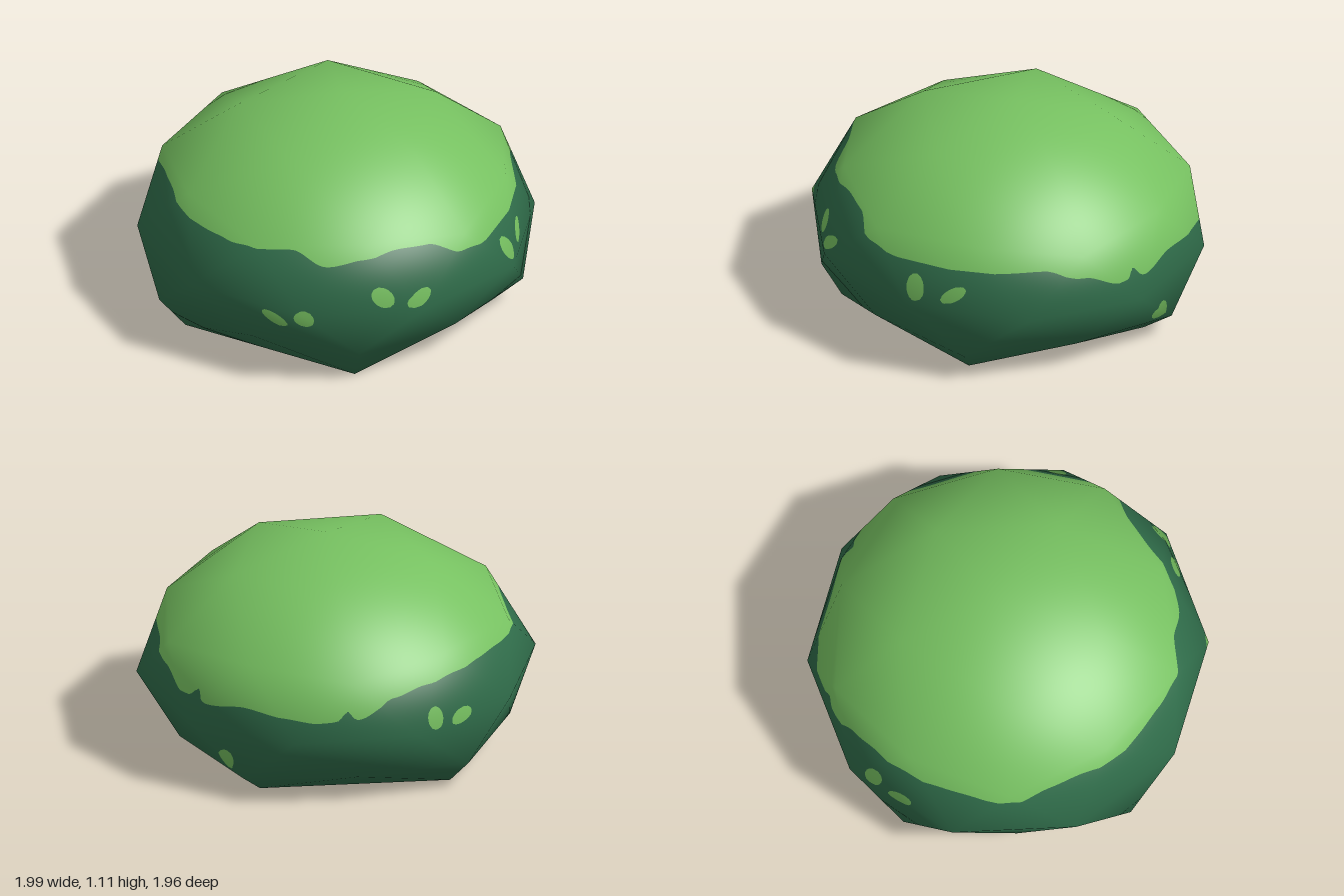
import * as THREE from 'three';

const RAD = Math.PI / 180;
const SPIN = -11.7; // turn of the whole shape about y, degrees
const STEPS = 20; // subdivisions of each facet, for clean colour borders

// A point on a ring, with the slight lean of the whole bush
function ringPoint(radius, height, degrees) {
  const a = (degrees + SPIN) * RAD;
  const x = radius * Math.cos(a) + 0.07 * (height - 0.41);
  const z = radius * Math.sin(a) - 0.04 * (height - 0.41);
  const y = height > 0 && radius > 0 ? height - 0.03 * (x - z) : height;
  return [x, y, z];
}

// Squashed, open-bottomed sphere with 41 corners: a once-divided icosahedron
function bushShell() {
  const points = [], index = [];
  const add = (r, y, deg) => points.push(...ringPoint(r, y, deg)) / 3 - 1;
  const ring = (r, y, start, count = 5) => Array.from({ length: count },
    (_, k) => add(Array.isArray(r) ? r[k] : r, y, start + k * 72));
  const top = add(0, 1.11, 0);
  const A = ring(0.52, 0.985, 0);
  const U = ring(0.895, 0.695, 0);
  const UM = ring(0.84, 0.735, 36);
  const E0 = ring(1, 0.41, 18);
  const E1 = ring(1, 0.41, 54);
  const L = ring([0.96, 0.92, 0.965, 0.96, 0.96], 0.155, 36);
  const LM = ring(0.87, 0.165, 0);
  const B = ring(0.81, 0, 36);
  const face = (a, b, c) => index.push(c, b, a);
  for (let k = 0; k < 5; k++) {
    const n = (k + 1) % 5;
    // crown
    face(top, A[k], A[n]);
    face(A[k], U[k], UM[k]);
    face(A[k], UM[k], A[n]);
    face(A[n], UM[k], U[n]);
    // sides
    face(U[k], E0[k], UM[k]);
    face(UM[k], E0[k], E1[k]);
    face(UM[k], E1[k], U[n]);
    face(E0[k], L[k], E1[k]);
    face(U[n], E1[k], E0[n]);
    face(E1[k], L[k], LM[n]);
    face(E1[k], LM[n], E0[n]);
    face(E0[n], LM[n], L[n]);
    // lower edge
    face(L[k], B[k], LM[n]);
    face(LM[n], B[k], B[n]);
    face(LM[n], B[n], L[n]);
  }
  const geo = new THREE.BufferGeometry();
  geo.setAttribute('position', new THREE.Float32BufferAttribute(points, 3));
  geo.setIndex(index);
  geo.computeVertexNormals();
  return geo;
}

// Height of the light canopy's wavy edge, every 12 degrees around y
const EDGE = [0.605, 0.60, 0.60, 0.60, 0.60, 0.625, 0.70, 0.71, 0.69, 0.66,
  0.725, 0.72, 0.69, 0.68, 0.68, 0.69, 0.68, 0.66, 0.64, 0.63,
  0.62, 0.60, 0.57, 0.48, 0.47, 0.48, 0.49, 0.465, 0.48, 0.55];
// Narrow dark notches in that edge: angle, height, width
const NOTCHES = [[330, 0.05, 1.6], [279, 0.05, 1.6]];

// Leaf spots: angle, height, half width, half height, tilt
const LEAVES = [
  [123.5, 0.38, 0.075, 0.036, -25], [114, 0.415, 0.05, 0.057, 0],
  [90, 0.505, 0.062, 0.046, -30], [79, 0.485, 0.072, 0.031, 24],
  [41, 0.49, 0.045, 0.064, 25], [29, 0.475, 0.072, 0.033, 30],
  [251, 0.44, 0.048, 0.056, 0], [241, 0.41, 0.07, 0.035, 15],
  [318, 0.195, 0.047, 0.057, 0],
];

const angleOf = (v) => (Math.atan2(v.p.z, v.p.x) / RAD + 360) % 360;

// Positive inside the canopy
function canopyField(v) {
  const deg = angleOf(v), t = deg / 12, i = Math.floor(t);
  const f = t - i, s = f * f * (3 - 2 * f);
  let edge = EDGE[i % 30] * (1 - s) + EDGE[(i + 1) % 30] * s;
  for (const [a, h, w] of NOTCHES) edge += h * Math.exp(-(((deg - a) / w) ** 2));
  return v.p.y - edge;
}

// Positive inside any leaf spot
function leafField(v) {
  const deg = angleOf(v);
  let best = -1;
  for (const [a, y, w, h, tilt] of LEAVES) {
    const du = -(deg - a) * RAD * 0.95, dv = v.p.y - y;
    const c = Math.cos(tilt * RAD), s = Math.sin(tilt * RAD);
    best = Math.max(best, 1 - Math.hypot((du * c + dv * s) / w, (dv * c - du * s) / h));
  }
  return best;
}

const mix = (a, b, t) => ({ p: a.p.clone().lerp(b.p, t), n: a.n.clone().lerp(b.n, t) });

// Cuts a convex polygon along field = 0
function split(poly, field) {
  const inside = [], outside = [];
  const values = poly.map(field);
  poly.forEach((v, i) => {
    const j = (i + 1) % poly.length;
    (values[i] > 0 ? inside : outside).push(v);
    if ((values[i] > 0) !== (values[j] > 0)) {
      const cut = mix(v, poly[j], values[i] / (values[i] - values[j]));
      inside.push(cut);
      outside.push(cut);
    }
  });
  return [inside, outside];
}

function partMesh(name, polys, material) {
  const pos = [], nor = [];
  for (const poly of polys) {
    for (let i = 1; i + 1 < poly.length; i++) {
      for (const v of [poly[0], poly[i], poly[i + 1]]) {
        pos.push(v.p.x, v.p.y, v.p.z);
        const n = v.n.clone().normalize();
        nor.push(n.x, n.y, n.z);
      }
    }
  }
  const geo = new THREE.BufferGeometry();
  geo.setAttribute('position', new THREE.Float32BufferAttribute(pos, 3));
  geo.setAttribute('normal', new THREE.Float32BufferAttribute(nor, 3));
  const mesh = new THREE.Mesh(geo, material);
  mesh.name = name;
  return mesh;
}

export function createModel() {
  const light = new THREE.MeshStandardMaterial({ color: 0x76c060, side: THREE.DoubleSide });
  light.name = 'light leaf green';
  const dark = new THREE.MeshStandardMaterial({ color: 0x2f6b49, side: THREE.DoubleSide });
  dark.name = 'dark leaf green';

  const shell = bushShell();
  const { position, normal } = shell.attributes;
  const corner = (i) => ({
    p: new THREE.Vector3().fromBufferAttribute(position, i),
    n: new THREE.Vector3().fromBufferAttribute(normal, i),
  });

  // Divide every facet finely and sort the pieces by colour
  const canopy = [], leaves = [], body = [];
  const sort = (tri) => {
    const [up, rest] = split(tri, canopyField);
    if (up.length > 2) canopy.push(up);
    if (rest.length < 3) return;
    const [leaf, plain] = split(rest, leafField);
    if (leaf.length > 2) leaves.push(leaf);
    if (plain.length > 2) body.push(plain);
  };
  for (let f = 0; f < shell.index.count; f += 3) {
    const [a, b, c] = [0, 1, 2].map((k) => corner(shell.index.getX(f + k)));
    const at = (i, j) => (i === 0 ? mix(a, a, 0)
      : mix(mix(a, b, i / STEPS), mix(a, c, i / STEPS), j / i));
    for (let i = 0; i < STEPS; i++) {
      for (let j = 0; j <= i; j++) {
        sort([at(i, j), at(i + 1, j), at(i + 1, j + 1)]);
        if (j < i) sort([at(i, j), at(i + 1, j + 1), at(i, j + 1)]);
      }
    }
  }

  const bush = new THREE.Group();
  bush.name = 'bush';
  bush.add(
    partMesh('canopy', canopy, light),
    partMesh('leafSpots', leaves, light),
    partMesh('lowerFoliage', body, dark),
  );
  return bush;
}
